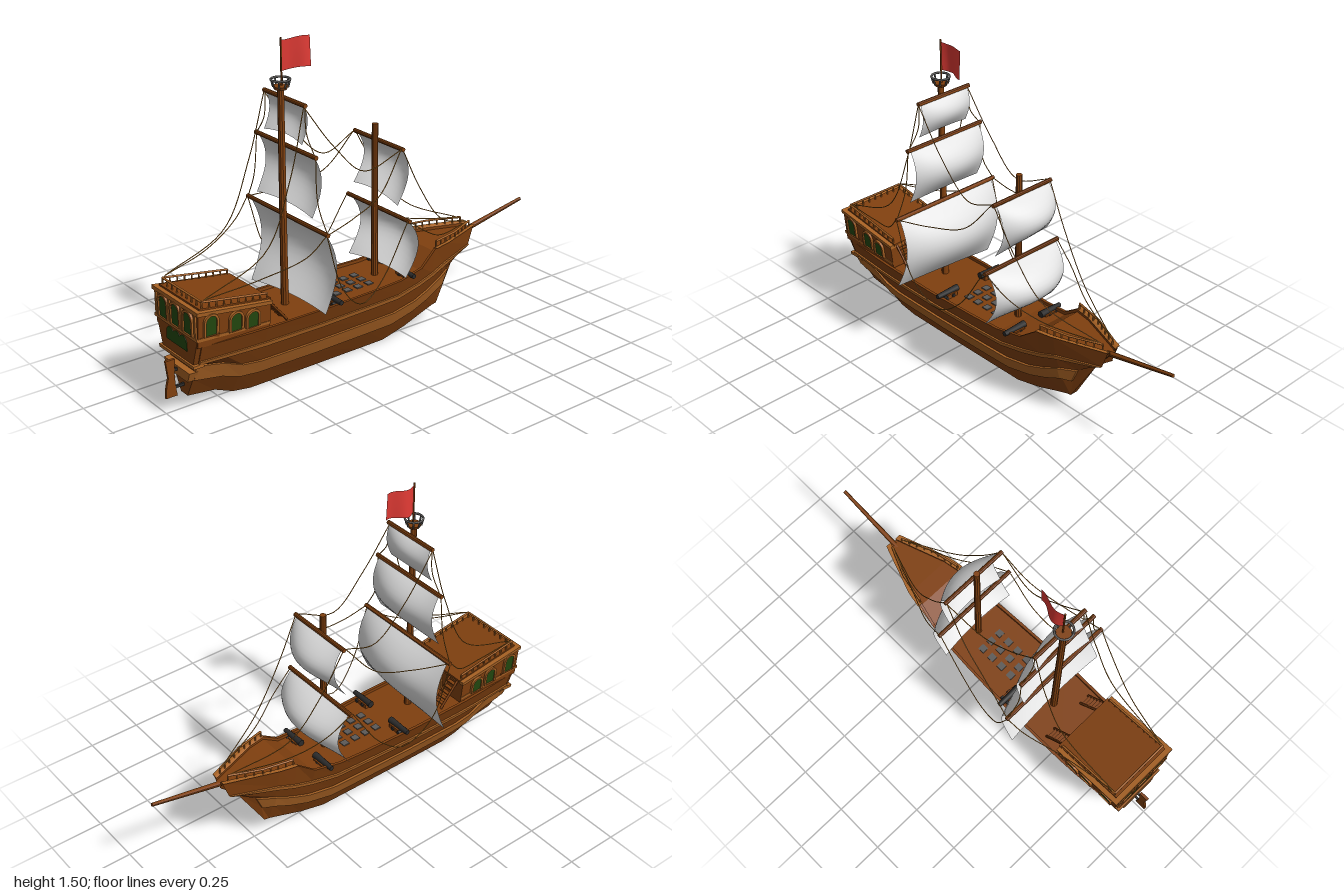
import * as THREE from 'three';

const mat = (name, color, extra = {}) => Object.assign(new THREE.MeshStandardMaterial({ color, ...extra }), { name });

export function createModel() {
  const ship = new THREE.Group();
  ship.name = 'sailingShip';
  const wood = mat('wood', 0x80400f, { flatShading: true });
  const trim = mat('light wood', 0xa86224);
  const sailMat = mat('sail cloth', 0xe2e2e2, { side: THREE.DoubleSide });
  const rope = mat('rope', 0xb07828);
  const iron = mat('iron', 0x2b2b2b);
  const steel = mat('grey rail', 0x5c5a58);
  const glass = mat('green glass', 0x23480f);
  const red = mat('flag red', 0xe03a34, { side: THREE.DoubleSide });

  const add = (name, geo, m, parent = ship) => {
    const mesh = new THREE.Mesh(geo, m);
    mesh.name = name;
    parent.add(mesh);
    return mesh;
  };
  const box = (name, w, h, d, x, y, z, m = wood, parent = ship) => {
    const b = add(name, new THREE.BoxGeometry(w, h, d), m, parent);
    b.position.set(x, y, z);
    return b;
  };
  const V = (p) => new THREE.Vector3(...p);
  const rod = (name, p, q, r, m = wood, r2 = r, sides = 10) => {
    const a = V(p), b = V(q), d = b.clone().sub(a);
    const c = add(name, new THREE.CylinderGeometry(r2, r, d.length(), sides), m);
    c.position.copy(a).addScaledVector(d, 0.5);
    c.quaternion.setFromUnitVectors(new THREE.Vector3(0, 1, 0), d.normalize());
    return c;
  };
  // Closed loft: loops counterclockwise seen from the stern, ordered stern to bow
  const loft = (name, loops, m) => {
    const pos = [], n = loops[0].length;
    const tri = (...t) => t.forEach((p) => pos.push(...p));
    const mid = (l) => [0, 1, 2].map((k) => l.reduce((s, p) => s + p[k], 0) / n);
    const first = loops[0], last = loops[loops.length - 1];
    for (let j = 0; j < n; j++) {
      const k = (j + 1) % n;
      for (let i = 0; i + 1 < loops.length; i++) {
        const A = loops[i], B = loops[i + 1];
        tri(A[j], B[j], A[k]);
        tri(A[k], B[j], B[k]);
      }
      tri(mid(first), first[j], first[k]);
      tri(mid(last), last[k], last[j]);
    }
    const g = new THREE.BufferGeometry();
    g.setAttribute('position', new THREE.Float32BufferAttribute(pos, 3));
    g.computeVertexNormals();
    return add(name, g, m);
  };
  const flip = (l) => l.map(([x, y, z]) => [-x, y, z]).reverse();

  // Hull stations: z, half beam, heights of keel, lower wale, upper wale and sheer
  const stations = [
    [0.91, 0.155, [0.065, 0.16, 0.235, 0.25, 0.265, 0.34]],
    [0.78, 0.165, [0.05, 0.14, 0.21, 0.248, 0.265, 0.34]],
    [0.69, 0.172, [0.013, 0.11, 0.175, 0.247, 0.265, 0.34]],
    [0.6, 0.176, [0, 0.102, 0.165, 0.245, 0.265, 0.34]],
    [0.3, 0.178, [0, 0.1, 0.165, 0.245, 0.265, 0.34]],
    [0, 0.166, [0, 0.1, 0.165, 0.245, 0.265, 0.34]],
    [-0.13, 0.158, [0, 0.1, 0.165, 0.245, 0.265, 0.342]],
    [-0.26, 0.144, [0.03, 0.125, 0.185, 0.265, 0.285, 0.362]],
    [-0.35, 0.13, [0.06, 0.155, 0.215, 0.285, 0.305, 0.428]],
    [-0.43, 0.115, [0.085, 0.19, 0.25, 0.31, 0.33, 0.43]],
  ];
  const beam = [0.17, 0.48, 0.62, 0.81, 0.84, 1];
  const sides = stations.map(([z, h, ys]) => ys.map((y, i) => [h * beam[i], y, z]));
  sides.push([[0.02, 0.09, -0.455], [0.028, 0.185, -0.475], [0.03, 0.255, -0.505],
    [0.03, 0.325, -0.6], [0.03, 0.345, -0.64], [0.03, 0.43, -0.67]]);
  loft('hull', sides.map((s) => {
    const [x, y, z] = s[5];
    const half = [...s, [x - 0.013, y, z], [x - 0.013, y - 0.015, z]];
    return [...half, ...flip(half)];
  }), wood);

  // Raised wales and the cap rail of the bulwark
  const band = (name, a, b, out, list) => [1, -1].forEach((s) => loft(name, list.map((p) => {
    const [x, y, z] = p[a], [X, Y, Z] = p[b];
    const l = [[x - 0.004, y, z], [x + out, y, z], [X + out, Y, Z], [X - 0.004, Y, Z]];
    return s > 0 ? l : flip(l);
  }), trim));
  band('lowerWale', 1, 2, 0.012, sides);
  band('upperWale', 3, 4, 0.009, sides);
  const caps = sides.slice(8).map((s) => {
    const [x, y, z] = s[5];
    return [[x - 0.012, y, z], [x, y + 0.006, z]];
  });
  band('bowCap', 0, 1, 0.012, caps);

  // Stern transom, ledge, and plank across the stern
  const trap = (z, w0, y0, w1, y1) => [[w0, y0, z], [w1, y1, z], [-w1, y1, z], [-w0, y0, z]];
  loft('sternTransom', [trap(0.932, 0.118, 0.25, 0.162, 0.385), trap(0.83, 0.13, 0.245, 0.168, 0.385)], wood);
  loft('sternPlank', [trap(0.94, 0.082, 0.16, 0.1, 0.205), trap(0.9, 0.084, 0.16, 0.102, 0.205)], trim);
  box('sternLedge', 0.27, 0.014, 0.05, 0, 0.245, 0.915, trim);

  // Cabin with sloping quarterdeck
  loft('cabin', [trap(0.93, 0.158, 0.34, 0.172, 0.495), trap(0.58, 0.158, 0.33, 0.17, 0.45)], wood);
  loft('cabinTopTrim', [trap(0.938, 0.176, 0.487, 0.178, 0.505), trap(0.575, 0.174, 0.44, 0.176, 0.457)], trim);
  loft('quarterdeck', [trap(0.915, 0.155, 0.5, 0.155, 0.51), trap(0.57, 0.155, 0.452, 0.155, 0.462)], wood);
  loft('cabinBottomTrim', [trap(0.938, 0.163, 0.37, 0.164, 0.384), trap(0.58, 0.163, 0.35, 0.164, 0.362)], trim);
  box('cabinDoor', 0.06, 0.095, 0.008, 0, 0.375, 0.577, trim);

  // Arched windows with frames
  const arch = (w, h) => {
    const s = new THREE.Shape();
    s.moveTo(-w / 2, 0);
    s.lineTo(w / 2, 0);
    s.lineTo(w / 2, h - w / 2);
    s.absarc(0, h - w / 2, w / 2, 0, Math.PI, false);
    return s;
  };
  const flat = { bevelEnabled: false, curveSegments: 8 };
  const windowAt = (x, y, z, turn, tilt, w, h, framed = true) => {
    const g = new THREE.Group();
    g.name = 'window';
    g.rotation.set(tilt, turn, 0, 'YXZ');
    g.position.set(x, y, z);
    ship.add(g);
    add('pane', new THREE.ExtrudeGeometry(arch(w, h), { ...flat, depth: 0.006 }), glass, g);
    if (!framed) return;
    const f = arch(w + 0.02, h + 0.01);
    f.holes.push(arch(w, h));
    add('frame', new THREE.ExtrudeGeometry(f, { ...flat, depth: 0.012 }), trim, g);
  };
  [-0.095, 0, 0.095].forEach((x) => windowAt(x, 0.385, 0.929, 0, 0, 0.058, 0.095));
  [-0.05, 0, 0.05].forEach((x) => windowAt(x, 0.298, 0.929, 0, 0, 0.056, 0.062, false));
  [1, -1].forEach((s) => [[0.872, 0.387, 0.09], [0.752, 0.373, 0.08], [0.67, 0.365, 0.072]].forEach(([z, y, h]) =>
    windowAt(s * 0.161, y, z, s * Math.PI / 2, 0.09, 0.05, h)));
  [-0.15, -0.048, 0.048, 0.15].forEach((x) => box('sternPillar', 0.012, 0.11, 0.012, x, 0.435, 0.932, trim));

  // Railings
  const railing = (name, a, b, n, h, m) => {
    const up = ([x, y, z]) => [x, y + h, z];
    rod(name, up(a), up(b), 0.005, m, 0.005, 6);
    for (let i = 0; i <= n; i++) {
      const p = V(a).lerp(V(b), i / n).toArray();
      rod(name + 'Post', p, up(p), 0.004, m, 0.004, 6);
    }
  };
  [1, -1].forEach((s) => {
    railing('quarterRail', [s * 0.15, 0.505, 0.9], [s * 0.15, 0.455, 0.585], 9, 0.03, trim);
    railing('bowRail', [s * 0.12, 0.43, -0.36], [s * 0.09, 0.43, -0.5], 4, 0.03, trim);
    railing('bowRail', [s * 0.09, 0.43, -0.5], [s * 0.03, 0.43, -0.64], 4, 0.03, trim);
    // Ladders to the quarterdeck
    [-0.025, 0.025].forEach((d) => rod('ladderRail', [s * 0.11 + d, 0.33, 0.48], [s * 0.11 + d, 0.45, 0.58], 0.006));
    for (let i = 1; i < 6; i++) box('ladderStep', 0.05, 0.006, 0.018, s * 0.11, 0.33 + i * 0.02, 0.48 + i * 0.0167);
    // Cannons
    [[0.23, 0.13], [-0.19, 0.11]].forEach(([z, x]) => {
      rod('cannonBarrel', [s * (x - 0.06), 0.35, z], [s * (x + 0.06), 0.35, z], 0.016, iron, 0.011);
      box('cannonCarriage', 0.06, 0.022, 0.04, s * (x - 0.015), 0.335, z);
      [-0.02, 0.02].forEach((d) => rod('cannonWheel', [s * x + d, 0.334, z - 0.024], [s * x + d, 0.334, z + 0.024], 0.009, iron));
    });
  });
  railing('sternRail', [-0.15, 0.505, 0.9], [0.15, 0.505, 0.9], 8, 0.03, trim);

  // Deck grating
  for (let i = 0; i < 3; i++) for (let j = 0; j < 4; j++)
    box('grating', 0.032, 0.006, 0.032, -0.047 + i * 0.053, 0.327, -0.02 + j * 0.06, steel);

  // Rudder
  const blade = new THREE.Shape([[1, 0.07], [0.995, 0.12], [0.985, 0.16], [0.995, 0.24], [0.95, 0.24],
    [0.955, 0.18], [0.953, 0.12], [0.945, 0.07]].reverse().map((p) => new THREE.Vector2(...p)));
  const rudder = add('rudder', new THREE.ExtrudeGeometry(blade, { depth: 0.012, bevelEnabled: false }), wood);
  rudder.rotation.y = -Math.PI / 2;
  rudder.position.x = 0.006;
  [0.11, 0.19].forEach((y) => box('rudderHinge', 0.01, 0.012, 0.06, 0, y, 0.93, iron));

  // Masts, bowsprit and crow's nest
  rod('mainMast', [0, 0.3, 0.393], [0, 1.3, 0.393], 0.017, wood, 0.014);
  rod('foreMast', [0, 0.3, -0.1], [0, 1.04, -0.1], 0.016, wood, 0.014);
  rod('bowsprit', [0, 0.395, -0.6], [0, 0.477, -0.998], 0.013, wood, 0.008);
  rod('nestFloor', [0, 1.285, 0.393], [0, 1.3, 0.393], 0.026, wood, 0.034, 12);
  const ring = add('nestRing', new THREE.TorusGeometry(0.04, 0.005, 6, 16), steel);
  ring.rotation.x = Math.PI / 2;
  ring.position.set(0, 1.327, 0.393);
  for (let i = 0; i < 8; i++) {
    const c = Math.cos(i * Math.PI / 4), s = Math.sin(i * Math.PI / 4);
    rod('nestPost', [0.032 * c, 1.295, 0.393 + 0.032 * s], [0.04 * c, 1.327, 0.393 + 0.04 * s], 0.004, steel, 0.004, 6);
  }
  rod('flagpole', [0, 1.29, 0.388], [0, 1.5, 0.388], 0.004);

  // Flag
  const flag = new THREE.PlaneGeometry(0.135, 0.13, 12, 4), fp = flag.attributes.position;
  for (let i = 0; i < fp.count; i++) {
    const t = fp.getX(i) / 0.135 + 0.5;
    fp.setXYZ(i, -0.014 * Math.sin(t * 5) * (1 - fp.getY(i) * 4), 1.425 + fp.getY(i) - 0.004 * Math.sin(t * 6), 0.386 - t * 0.135);
  }
  flag.computeVertexNormals();
  add('flag', flag, red);

  // Yards with billowing sails: z, yard height, yard half, sail half, foot height, belly, foot tilt
  [[0.375, 0.73, 0.292, 0.275, 0.36, 0.115, 0.018], [0.375, 1.043, 0.216, 0.2, 0.78, 0.085, 0],
    [0.375, 1.245, 0.146, 0.135, 1.08, 0.045, 0], [-0.12, 0.645, 0.22, 0.205, 0.37, 0.13, 0.01],
    [-0.12, 0.96, 0.17, 0.155, 0.71, 0.1, -0.01]].forEach(([z, top, yard, half, foot, belly, tilt]) => {
    rod('yard', [-yard, top, z], [yard, top, z], 0.01);
    const g = new THREE.PlaneGeometry(2, 1, 16, 14), p = g.attributes.position;
    for (let i = 0; i < p.count; i++) {
      const u = p.getX(i), v = 0.5 - p.getY(i);
      const puff = Math.sin(Math.PI * Math.pow(v, 0.9)) * (0.5 + 0.5 * (1 - u * u));
      p.setXYZ(i, u * half + 0.012 * v * tilt / 0.018, top + (foot + tilt * u - top) * v + 0.012 * v * (1 - u * u), z - belly * puff + 0.012 * v * u * u);
    }
    g.computeVertexNormals();
    add('sail', g, sailMat);
  });

  // Rigging, mirrored on both sides
  const lines = [
    [[0.14, 1.24, 0.38], [0.145, 1.04, 0.23], [0.145, 0.9, 0.07], [0.165, 0.96, -0.11]],
    [[0.14, 1.24, 0.38], [0.15, 0.95, 0.46], [0.155, 0.67, 0.59], [0.15, 0.54, 0.89]],
    [[0.288, 0.73, 0.38], [0.265, 0.65, 0.46], [0.2, 0.58, 0.65], [0.15, 0.54, 0.89]],
    [[0.288, 0.73, 0.38], [0.28, 0.46, 0.29], [0.25, 0.35, 0.16], [0.23, 0.42, 0.04], [0.215, 0.645, -0.11]],
    [[0.288, 0.73, 0.38], [0.24, 0.75, 0.2], [0.2, 0.8, 0.03], [0.165, 0.96, -0.11]],
    [[0.165, 0.96, -0.12], [0.15, 0.76, -0.23], [0.12, 0.57, -0.38], [0.03, 0.46, -0.63]],
    [[0.215, 0.645, -0.12], [0.19, 0.56, -0.24], [0.13, 0.49, -0.38], [0.03, 0.46, -0.63]],
    [[0.14, 1.24, 0.375], [0.15, 1.13, 0.375], [0.21, 1.04, 0.375]],
    [[0.21, 1.04, 0.375], [0.23, 0.85, 0.38], [0.288, 0.73, 0.375]],
  ];
  lines.forEach((l) => [1, -1].forEach((s) => {
    const curve = new THREE.CatmullRomCurve3(l.map(([x, y, z]) => new THREE.Vector3(s * x, y, z)));
    add('rigging', new THREE.TubeGeometry(curve, 24, 0.0022, 5), rope);
  }));
  return ship;
}
